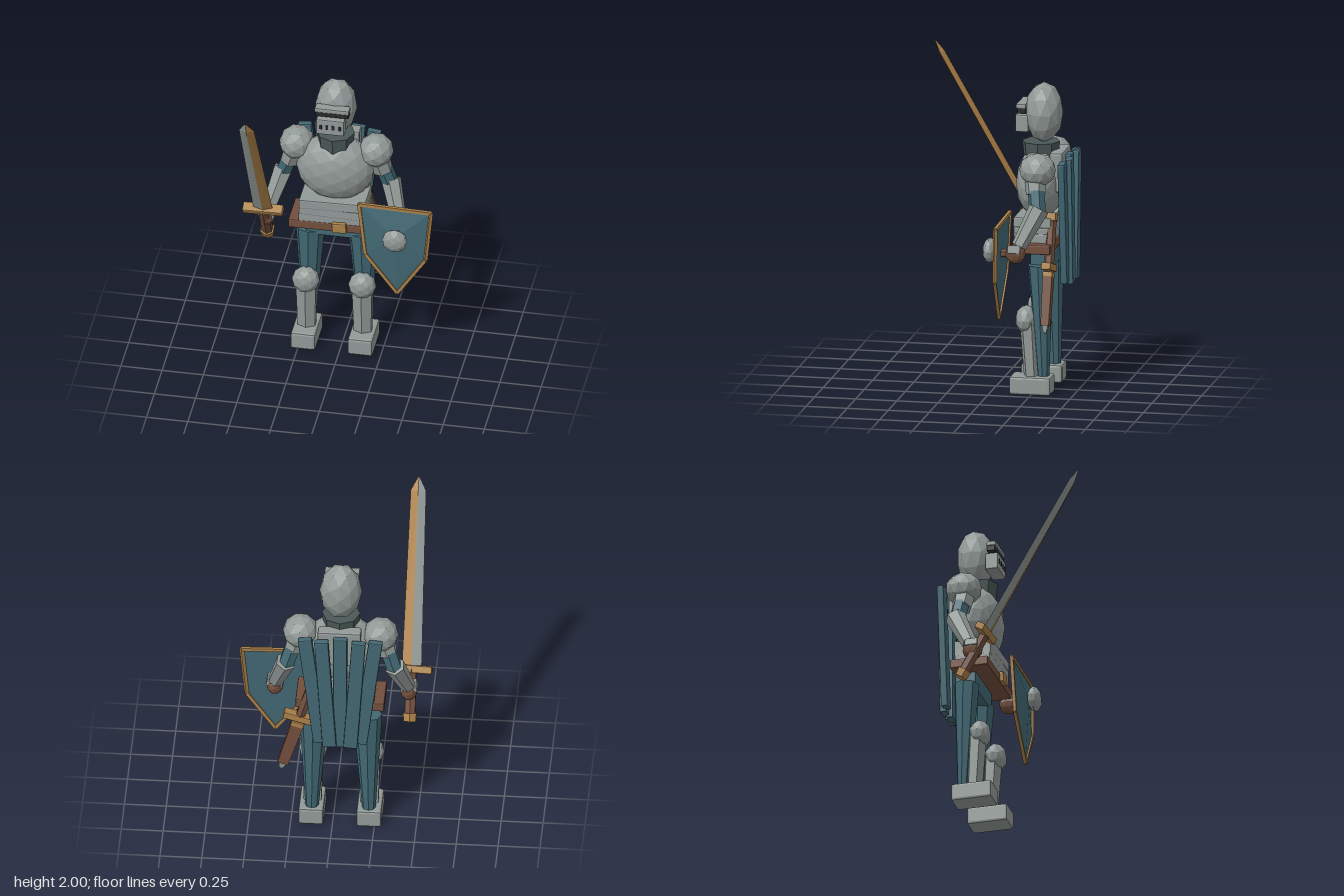
import * as THREE from 'three';
import { RoundedBoxGeometry } from 'three/addons/geometries/RoundedBoxGeometry.js';
import { ConvexGeometry } from 'three/addons/geometries/ConvexGeometry.js';

const V = (x, y, z) => new THREE.Vector3(x, y, z);

function makeMaterial(name, color) {
  const m = new THREE.MeshStandardMaterial({ color, flatShading: true });
  m.name = name;
  return m;
}

export function createModel() {
  const steel = makeMaterial('steel', 0x929a98);
  const mail = makeMaterial('dark mail', 0x4b5857);
  const teal = makeMaterial('teal cloth', 0x426874);
  const gold = makeMaterial('brass', 0xab8048);
  const brown = makeMaterial('brown leather', 0x734f3d);
  const dark = makeMaterial('dark openings', 0x26292b);

  const model = new THREE.Group();
  model.name = 'armouredKnight';

  function add(parent, name, geometry, material, pos = [0, 0, 0], rotZ = 0) {
    const mesh = new THREE.Mesh(geometry, material);
    mesh.name = name;
    mesh.position.set(...pos);
    mesh.rotation.z = rotZ;
    parent.add(mesh);
    return mesh;
  }
  const box = (parent, name, mat, size, pos, rotZ = 0, bevel = 0.008) =>
    add(parent, name, new RoundedBoxGeometry(...size, 1, bevel), mat, pos, rotZ);
  const ball = (parent, name, mat, radii, pos, detail = 1) =>
    add(parent, name, new THREE.IcosahedronGeometry(1, detail).scale(...radii), mat, pos);
  // Tapered bar from a to b; flat squashes its local depth
  function bar(parent, name, mat, a, b, ra, rb, sides = 6, flat = 1) {
    const g = new THREE.CylinderGeometry(rb, ra, a.distanceTo(b), sides);
    if (sides === 4) g.rotateY(Math.PI / 4);
    g.scale(1, 1, flat);
    const mesh = add(parent, name, g, mat);
    mesh.position.copy(a).lerp(b, 0.5);
    mesh.quaternion.setFromUnitVectors(V(0, 1, 0), b.clone().sub(a).normalize());
    return mesh;
  }

  // Body, symmetric about its own centre line
  const body = new THREE.Group();
  body.name = 'body';
  body.position.x = -0.045;
  model.add(body);

  // Helmet
  ball(body, 'helmet', steel, [0.127, 0.185, 0.116], [0, 1.68, -0.283]);
  box(body, 'browPlate', steel, [0.21, 0.03, 0.06], [0, 1.73, -0.162]);
  box(body, 'eyeSlit', dark, [0.2, 0.03, 0.05], [0, 1.7, -0.165], 0, 0.003);
  box(body, 'visor', steel, [0.17, 0.105, 0.08], [-0.008, 1.62, -0.162]);
  for (let i = 0; i < 4; i++) {
    box(body, 'breathHole', dark, [0.017, 0.03, 0.006], [-0.065 + i * 0.038, 1.622, -0.121], 0, 0.002);
  }
  add(body, 'mailCollar', new THREE.CylinderGeometry(0.115, 0.1, 0.14, 8), mail, [0, 1.435, -0.265]);

  // Torso
  ball(body, 'breastplate', steel, [0.237, 0.222, 0.145], [0, 1.255, -0.265], 2);
  box(body, 'backPlate', steel, [0.26, 0.24, 0.08], [0, 1.34, -0.38], 0, 0.012);
  [[1.04, 0.4, 0.02], [0.99, 0.4, -0.025], [0.945, 0.41, 0.015]].forEach(([y, w, tilt], i) =>
    box(body, 'waistLame', steel, [w, 0.062, 0.23 - i * 0.005], [0, y, -0.25], tilt));
  box(body, 'belt', brown, [0.53, 0.058, 0.235], [0, 0.893, -0.255], 0.01);
  box(body, 'beltBuckle', gold, [0.088, 0.066, 0.03], [0.047, 0.902, -0.13], 0.06);
  box(body, 'hips', teal, [0.35, 0.13, 0.13], [0, 0.825, -0.3]);

  // Arms and legs
  for (const s of [-1, 1]) {
    ball(body, 'shoulderPlate', steel, [0.106, 0.102, 0.111], [s * 0.24, 1.38, -0.293]);
    const shoulder = V(s * 0.262, 1.34, -0.285);
    const elbow = V(s * 0.325, 1.14, -0.31);
    const wrist = V(s * 0.395, 0.945, -0.212);
    bar(body, 'upperArm', teal, elbow, shoulder, 0.05, 0.052);
    bar(body, 'upperArmCuff', steel, V(s * 0.284, 1.24, -0.292), V(s * 0.262, 1.31, -0.285), 0.06, 0.066);
    bar(body, 'forearmPlate', steel, wrist, V(s * 0.325, 1.165, -0.32), 0.046, 0.062);
    box(body, 'wristGuard', steel, [0.1, 0.05, 0.08], [s * 0.4, 0.925, -0.19], s * 0.2);
    ball(body, 'glove', brown, [0.052, 0.062, 0.062], [s * 0.4, 0.9, -0.192]);

    bar(body, 'trouserLeg', teal, V(s * 0.17, 0.1, -0.315), V(s * 0.16, 0.785, -0.295), 0.04, 0.088, 8, 0.88);
    bar(body, 'shinPlate', steel, V(s * 0.17, 0.09, -0.245), V(s * 0.17, 0.44, -0.225), 0.06, 0.07, 6, 0.8);
    ball(body, 'kneePlate', steel, [0.085, 0.086, 0.065], [s * 0.171, 0.449, -0.21]);
    box(body, 'boot', steel, [0.15, 0.11, 0.25], [s * 0.173, 0.055, -0.245], 0, 0.014);
  }

  // Cape made of overlapping planks that draw together downwards
  for (let i = -2; i <= 2; i++) {
    const n = Math.abs(i), side = Math.sign(i);
    const top = side * [0, 0.112, 0.212][n], bottom = side * [0, 0.062, 0.118][n];
    const z = n === 1 ? -0.458 : -0.434;
    const yTop = 1.435 - n * 0.005, yBottom = 0.645 + n * 0.012;
    const h = yTop - yBottom;
    box(body, 'capePlank', teal, [0.084, h, 0.042], [(top + bottom) / 2 - 0.008, (yTop + yBottom) / 2, z],
      -Math.atan2(top - bottom, h), 0.007);
  }

  // Sword, leaning forward; blade halves meet at the ridge
  const sword = new THREE.Group();
  sword.name = 'sword';
  sword.position.set(-0.455, 0.995, -0.108);
  sword.rotation.x = 0.522;
  model.add(sword);
  for (const s of [-1, 1]) {
    const pts = [V(0, 1.16, 0)];
    for (const [y, w] of [[0, 0.059], [1.07, 0.046]]) {
      pts.push(V(s * w, y, 0), V(0, y, 0.018), V(0, y, -0.018));
    }
    add(sword, 'bladeHalf', new ConvexGeometry(pts), s < 0 ? steel : gold);
  }
  box(sword, 'crossGuard', gold, [0.245, 0.045, 0.06], [0, 0, 0], 0.04);
  bar(sword, 'grip', brown, V(0, -0.28, 0), V(0, 0, 0), 0.036, 0.032, 6);
  bar(sword, 'pommel', gold, V(0, -0.315, 0), V(0, -0.265, 0), 0.042, 0.046, 6);

  // Shield: shallow pyramid with a rim and a boss
  const shield = new THREE.Group();
  shield.name = 'shield';
  model.add(shield);
  const outline = [
    V(0.125, 1.1, -0.112), V(0.56, 1.088, -0.112), V(0.53, 0.757, -0.102),
    V(0.36, 0.505, -0.094), V(0.165, 0.757, -0.102),
  ];
  add(shield, 'shieldFace', new ConvexGeometry([...outline, V(0.355, 0.915, -0.068)]), teal);
  outline.forEach((p, i) => {
    bar(shield, 'shieldRim', gold, p, outline[(i + 1) % outline.length], 0.014, 0.014, 4);
    ball(shield, 'rimCorner', gold, [0.013, 0.013, 0.013], p.toArray(), 0);
  });
  ball(shield, 'shieldBoss', steel, [0.077, 0.077, 0.042], [0.355, 0.915, -0.036]);
  bar(shield, 'shieldGrip', brown, V(0.355, 0.9, -0.19), V(0.355, 0.9, -0.1), 0.025, 0.025, 6);

  // Sheathed short sword on the left hip
  const sheath = new THREE.Group();
  sheath.name = 'sheathedSword';
  sheath.position.set(0.2, 0.77, -0.362);
  sheath.rotation.z = 0.29;
  model.add(sheath);
  box(sheath, 'hiltGuard', gold, [0.2, 0.045, 0.06], [0, 0.02, 0]);
  box(sheath, 'sheathCollar', gold, [0.08, 0.035, 0.062], [0, -0.025, 0]);
  bar(sheath, 'hiltGrip', brown, V(0, 0.03, 0), V(0, 0.3, 0), 0.03, 0.03, 6);
  box(sheath, 'hiltPommel', gold, [0.065, 0.05, 0.06], [0, 0.32, 0]);
  bar(sheath, 'scabbard', brown, V(0, -0.33, 0), V(0, -0.03, 0), 0.046, 0.054, 4, 0.75);
  bar(sheath, 'scabbardTip', steel, V(0, -0.375, 0), V(0, -0.32, 0), 0.016, 0.036, 4, 0.75);

  return model;
}
